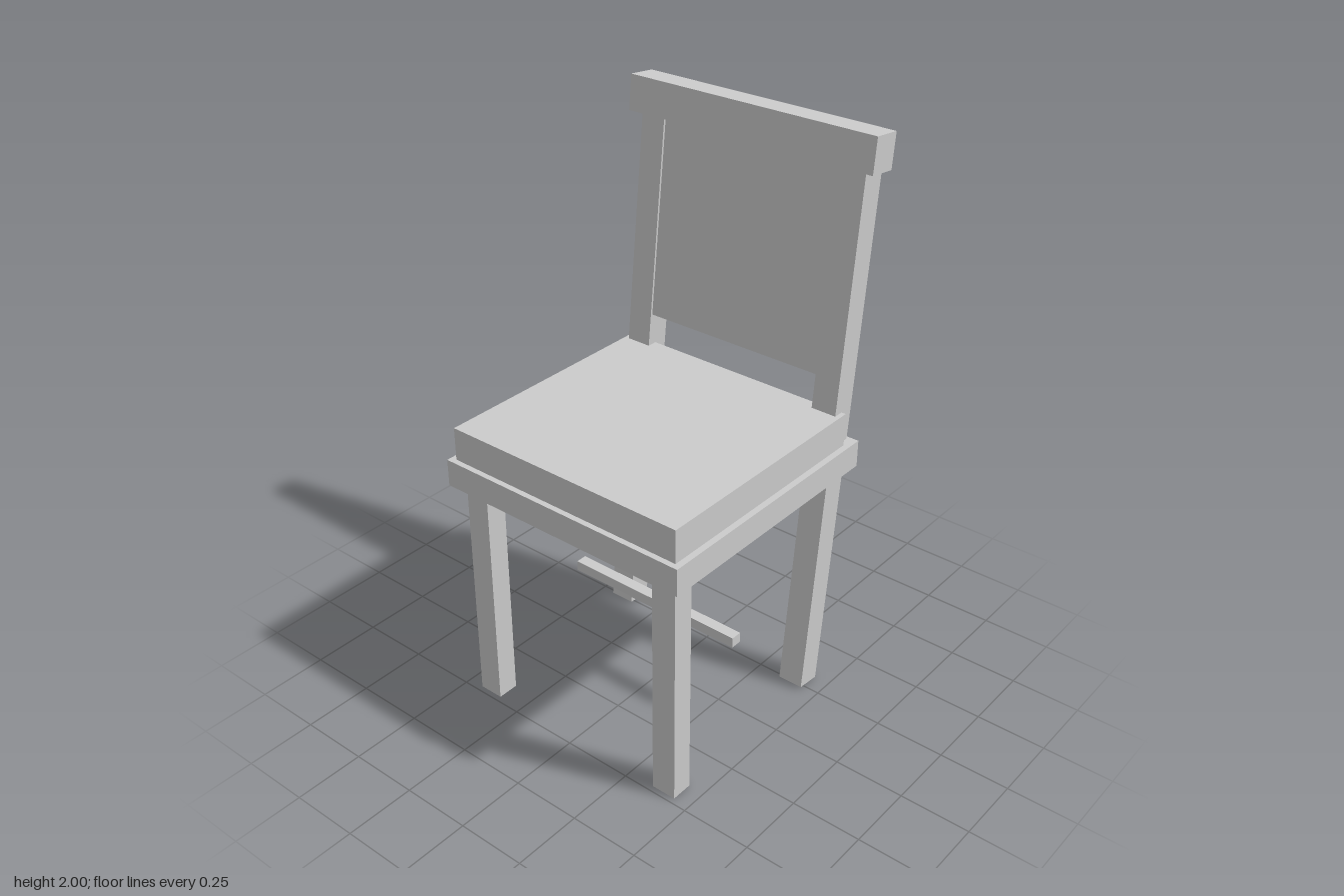
import * as THREE from 'three';

const material = new THREE.MeshStandardMaterial({ color: 0xcccccc, flatShading: true });

function box(parent, name, [w, h, d], [x, y, z]) {
  const mesh = new THREE.Mesh(new THREE.BoxGeometry(w, h, d), material);
  mesh.name = name;
  mesh.position.set(x, y, z);
  parent.add(mesh);
  return mesh;
}

export function createModel() {
  const chair = new THREE.Group();
  chair.name = 'chair';

  // Seat: frame with a smaller cushion on top
  box(chair, 'seatFrame', [0.96, 0.097, 0.95], [0, 0.8985, 0.045]);
  box(chair, 'seatCushion', [0.916, 0.118, 0.875], [0, 1.006, 0.0625]);

  // Thin stretcher between the legs
  box(chair, 'stretcher', [0.7, 0.038, 0.041], [0, 0.337, 0.042]);

  // Leaning back: everything in it shares one tilt
  const back = new THREE.Group();
  back.name = 'back';
  back.position.set(0, 0.977, -0.375);
  back.rotation.x = -0.105;
  chair.add(back);
  box(back, 'backPanel', [0.7, 0.73, 0.074], [0, 0.565, 0]);
  box(back, 'topRail', [0.96, 0.121, 0.105], [0, 0.961, 0.017]);

  // Front legs, and rear legs that run on up as back posts
  for (const [side, s] of [['left', 1], ['right', -1]]) {
    box(chair, side + 'FrontLeg', [0.09, 0.855, 0.078], [s * 0.395, 0.4275, 0.44]);
    box(back, side + 'RearPost', [0.093, 1.955, 0.09], [s * 0.395, 0, 0]);
  }

  return chair;
}
